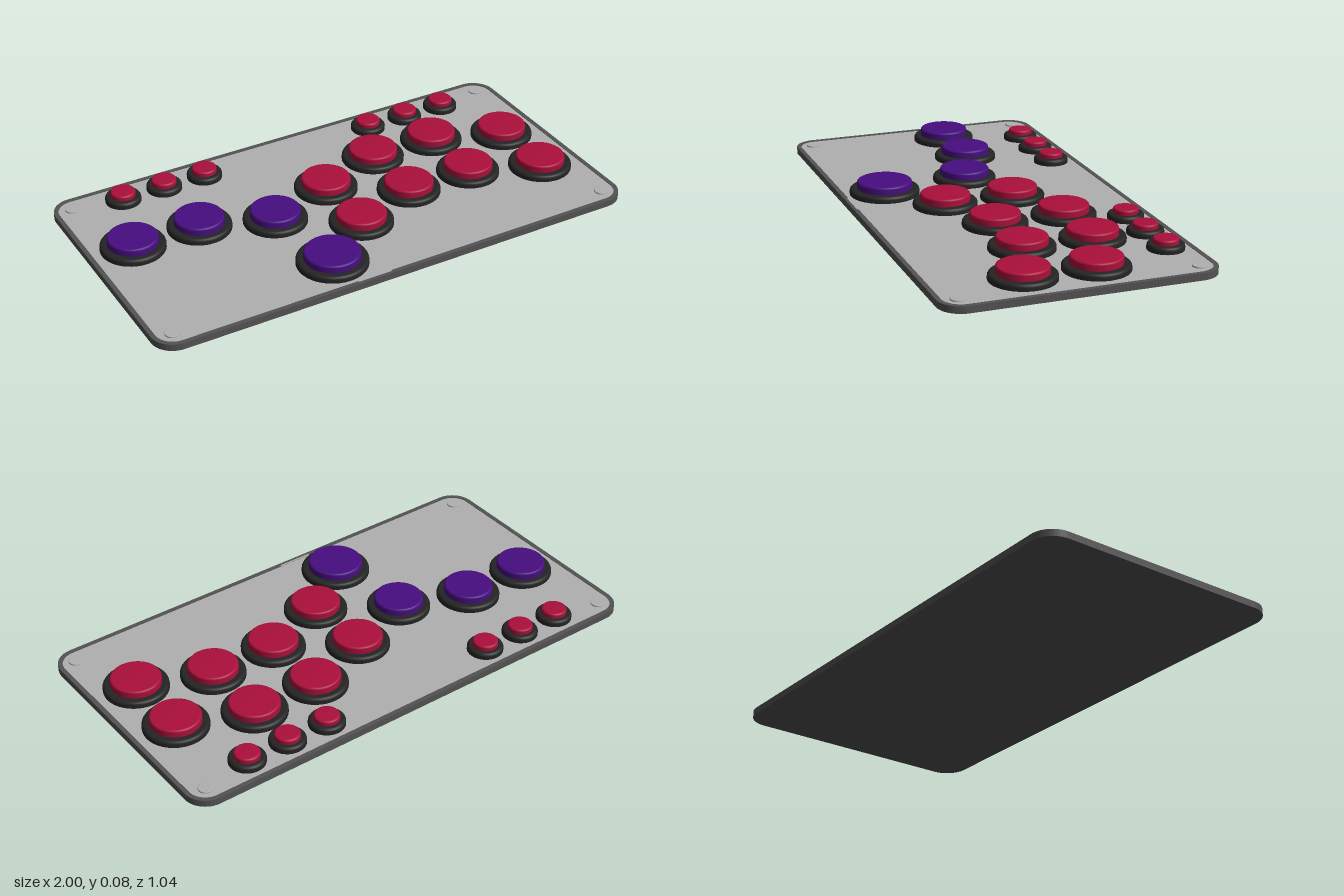
import * as THREE from 'three';

const mat = (name, color) => {
  const m = new THREE.MeshStandardMaterial({ color });
  m.name = name;
  return m;
};

// Rounded rectangle lying in the shape plane
function roundedRect(Type, hw, hd, r) {
  const s = new Type();
  s.absarc(hw - r, hd - r, r, 0, Math.PI / 2);
  s.absarc(-hw + r, hd - r, r, Math.PI / 2, Math.PI);
  s.absarc(-hw + r, -hd + r, r, Math.PI, Math.PI * 1.5);
  s.absarc(hw - r, -hd + r, r, Math.PI * 1.5, Math.PI * 2);
  s.closePath();
  return s;
}

// Flat slab extruded upwards from y0
function slab(shape, y0, height) {
  const g = new THREE.ExtrudeGeometry(shape, { depth: height, bevelEnabled: false, curveSegments: 10 });
  g.rotateX(-Math.PI / 2);
  g.translate(0, y0, 0);
  return g;
}

// Disc with a rounded upper edge
function roundedDisc(radius, y0, y1, edge) {
  const pts = [new THREE.Vector2(radius, y0)];
  for (let i = 0; i <= 4; i++) {
    const a = (i / 4) * Math.PI / 2;
    pts.push(new THREE.Vector2(radius - edge + edge * Math.cos(a), y1 - edge + edge * Math.sin(a)));
  }
  pts.push(new THREE.Vector2(0, y1));
  return new THREE.LatheGeometry(pts, 40);
}

export function createModel() {
  const model = new THREE.Group();
  model.name = 'buttonController';
  const caseGrey = mat('caseGrey', 0x545252);
  const panelGrey = mat('panelGrey', 0xb0b0b0);
  const black = mat('collarBlack', 0x242424);
  const red = mat('buttonRed', 0xab0f3b);
  const purple = mat('buttonPurple', 0x470d80);

  const add = (name, geometry, material, x = 0, y = 0, z = 0, parent = model) => {
    const mesh = new THREE.Mesh(geometry, material);
    mesh.name = name;
    mesh.position.set(x, y, z);
    parent.add(mesh);
    return mesh;
  };

  // Case: base, raised rim and inset top panel
  add('base', slab(roundedRect(THREE.Shape, 1, 0.522, 0.09), 0, 0.02), caseGrey);
  const rim = roundedRect(THREE.Shape, 1, 0.522, 0.09);
  rim.holes.push(roundedRect(THREE.Path, 0.982, 0.504, 0.072));
  add('rim', slab(rim, 0.02, 0.007), caseGrey);
  add('topPanel', slab(roundedRect(THREE.Shape, 0.982, 0.504, 0.072), 0.02, 0.005), panelGrey);
  add('frontSlot', new THREE.BoxGeometry(0.14, 0.002, 0.006), panelGrey, -0.135, 0.0268, 0.507);

  // Corner screws
  const screw = roundedDisc(0.027, 0.024, 0.031, 0.002);
  for (const x of [-0.925, 0.925])
    for (const z of [-0.45, 0.45]) add('cornerScrew', screw, panelGrey, x, 0, z);

  // Button sizes: collar and cap
  const size = (collar, cap, top) => ({
    collar: roundedDisc(collar, 0.024, 0.05, 0.012),
    cap: roundedDisc(cap, 0.048, top, 0.008),
  });
  const small = size(0.07, 0.049, 0.07);
  const medium = size(0.125, 0.097, 0.079);
  const large = size(0.137, 0.108, 0.079);

  const button = (name, kind, material, x, z) => {
    const g = new THREE.Group();
    g.name = name;
    g.position.set(x, 0, z);
    add('collar', kind.collar, black, 0, 0, 0, g);
    add('cap', kind.cap, material, 0, 0, 0, g);
    model.add(g);
  };

  // Direction buttons
  for (const [x, z] of [[-0.825, -0.1], [-0.55, -0.1], [-0.277, 0]])
    button('directionButton', medium, purple, x, z);
  button('thumbButton', large, purple, -0.225, 0.35);

  // Action buttons in two staggered rows
  for (const [x, z] of [[0, -0.1], [0.274, -0.203], [0.549, -0.203], [0.824, -0.1]]) {
    button('actionButtonBack', medium, red, x, z);
    button('actionButtonFront', medium, red, x, z + 0.276);
  }

  // Small menu buttons along the back edge
  for (const s of [-1, 1])
    for (const x of [0.375, 0.55, 0.725]) button('menuButton', small, red, s * x, -0.414);

  return model;
}
